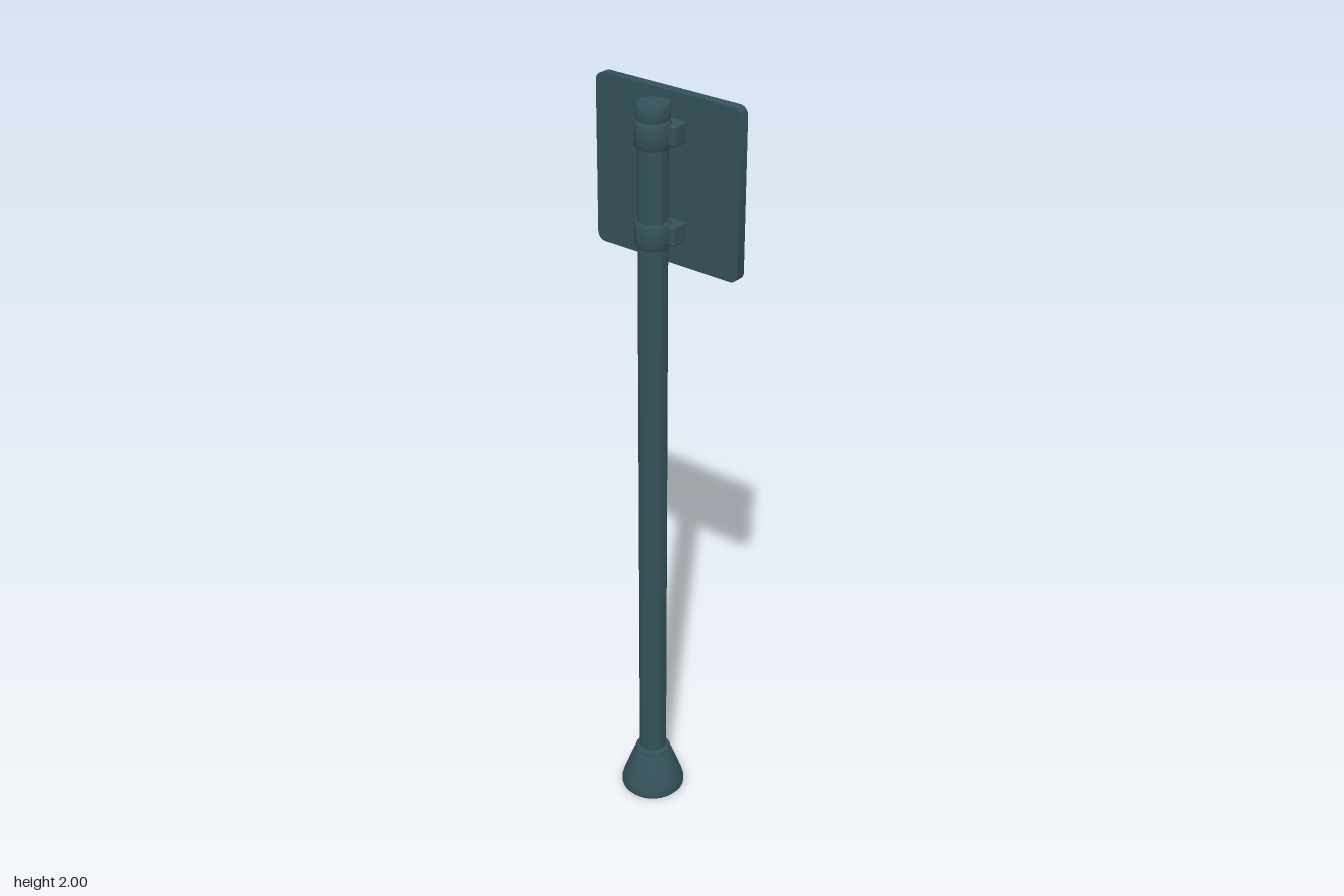
import * as THREE from 'three';
import { toCreasedNormals } from 'three/addons/utils/BufferGeometryUtils.js';
import { RoundedBoxGeometry } from 'three/addons/geometries/RoundedBoxGeometry.js';

const paint = new THREE.MeshStandardMaterial({ color: 0x34525a });
const grey = new THREE.MeshStandardMaterial({ color: 0xcccccc });

function add(parent, name, geometry, material = paint) {
  const mesh = new THREE.Mesh(geometry, material);
  mesh.name = name;
  parent.add(mesh);
  return mesh;
}

// Turned part from [radius, height] pairs, bottom to top
function turned(profile) {
  const points = profile.map(([r, y]) => new THREE.Vector2(r, y));
  return toCreasedNormals(new THREE.LatheGeometry(points, 32), 0.6);
}

function roundedSquare(half, r) {
  const s = new THREE.Shape();
  s.absarc(half - r, half - r, r, 0, Math.PI / 2);
  s.absarc(r - half, half - r, r, Math.PI / 2, Math.PI);
  s.absarc(r - half, r - half, r, Math.PI, Math.PI * 1.5);
  s.absarc(half - r, r - half, r, Math.PI * 1.5, Math.PI * 2);
  return s;
}

// Sign plate: square front edge, small chamfer around the back
function plateGeometry() {
  const depth = 0.033;
  const g = new THREE.ExtrudeGeometry(roundedSquare(0.2135, 0.022), { depth, steps: 2, bevelEnabled: false, curveSegments: 6 });
  const p = g.attributes.position;
  for (let i = 0; i < p.count; i++) {
    const z = p.getZ(i);
    if (z < 0.001) p.setXY(i, p.getX(i) * 0.967, p.getY(i) * 0.967);
    else if (z < depth - 0.001) p.setZ(i, 0.007);
  }
  return toCreasedNormals(g, 0.5);
}

export function createModel() {
  const model = new THREE.Group();
  model.name = 'signPost';

  // Flared foot with a collar
  add(model, 'base', turned([
    [0, 0], [0.08, 0], [0.085, 0.006], [0.085, 0.022], [0.081, 0.035],
    [0.054, 0.108], [0.05, 0.116], [0.048, 0.118], [0.048, 0.128], [0.044, 0.134], [0.037, 0.135],
  ]));

  // Pole and its cap
  add(model, 'pole', turned([[0.037, 0.12], [0.037, 1.955]]));
  add(model, 'cap', turned([
    [0.036, 1.944], [0.041, 1.946], [0.042, 1.95], [0.042, 1.976], [0.039, 1.983], [0, 1.984],
  ]));

  // Two clamps holding the plate
  for (const y of [1.664, 1.91]) {
    const clamp = new THREE.Group();
    clamp.name = 'clamp';
    clamp.position.y = y;
    model.add(clamp);
    add(clamp, 'clampRing', turned([
      [0.036, -0.032], [0.041, -0.032], [0.044, -0.027], [0.044, 0.027], [0.041, 0.032], [0.036, 0.032],
    ]));
    add(clamp, 'clampBlock', new RoundedBoxGeometry(0.12, 0.052, 0.05, 3, 0.007)).position.z = -0.029;
  }

  // Plate with its light face on the back
  const sign = new THREE.Group();
  sign.name = 'sign';
  sign.position.set(0, 1.7865, -0.083);
  model.add(sign);
  add(sign, 'plate', plateGeometry());
  const face = add(sign, 'signFace', new THREE.ShapeGeometry(roundedSquare(0.2062, 0.021), 6), grey);
  face.rotation.y = Math.PI;
  face.position.z = -0.001;

  return model;
}
